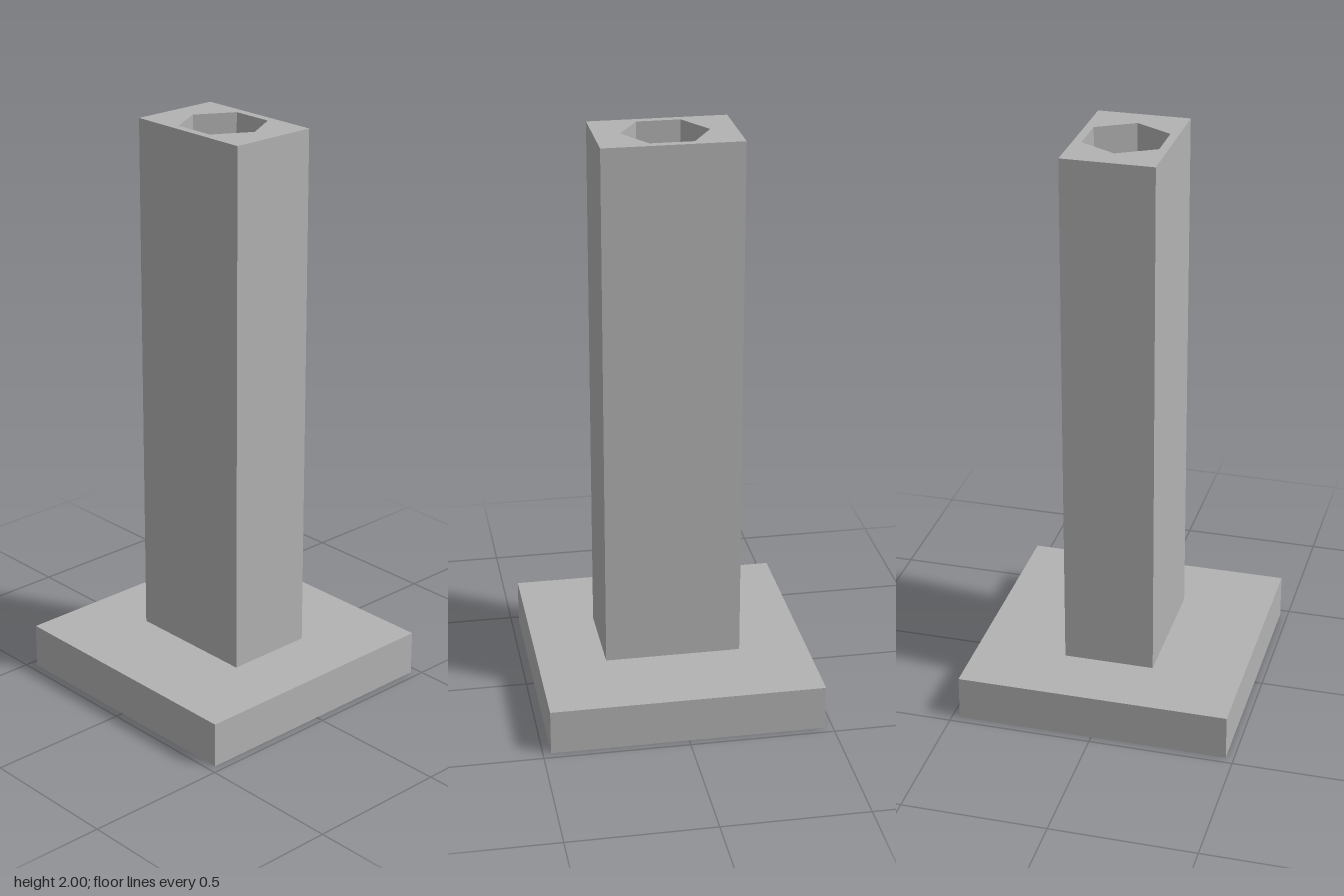
import * as THREE from 'three';
import { toCreasedNormals } from 'three/addons/utils/BufferGeometryUtils.js';

const PLATE_HEIGHT = 0.157;
const TOTAL_HEIGHT = 2;

// Rectangular block standing on y = 0, pierced by one vertical hole
function piercedBlock(width, depth, height, hole) {
  const w = width / 2, d = depth / 2;
  const shape = new THREE.Shape([
    new THREE.Vector2(-w, -d), new THREE.Vector2(w, -d),
    new THREE.Vector2(w, d), new THREE.Vector2(-w, d),
  ]);
  shape.holes.push(hole);
  const geometry = new THREE.ExtrudeGeometry(shape, {
    depth: height, bevelEnabled: false, curveSegments: 48,
  });
  geometry.rotateX(-Math.PI / 2);
  return toCreasedNormals(geometry, Math.PI / 6);
}

export function createModel() {
  const model = new THREE.Group();
  model.name = 'hexSocketStand';

  const grey = new THREE.MeshStandardMaterial({ color: 0xb2b2b2 });
  grey.name = 'grey';

  // Square base plate with a round bore
  const bore = new THREE.Path().absarc(0, 0, 0.092, 0, Math.PI * 2, true);
  const plate = new THREE.Mesh(piercedBlock(0.945, 0.945, PLATE_HEIGHT, bore), grey);
  plate.name = 'basePlate';
  model.add(plate);

  // Rectangular post with a hexagonal socket, corners on the x axis
  const corners = [];
  for (let i = 0; i < 6; i++) {
    const a = -i * Math.PI / 3;
    corners.push(new THREE.Vector2(0.148 * Math.cos(a), 0.148 * Math.sin(a)));
  }
  const socket = new THREE.Path(corners);
  socket.closePath();
  const post = new THREE.Mesh(
    piercedBlock(0.472, 0.315, TOTAL_HEIGHT - PLATE_HEIGHT, socket), grey);
  post.name = 'post';
  post.position.y = PLATE_HEIGHT;
  model.add(post);

  return model;
}
